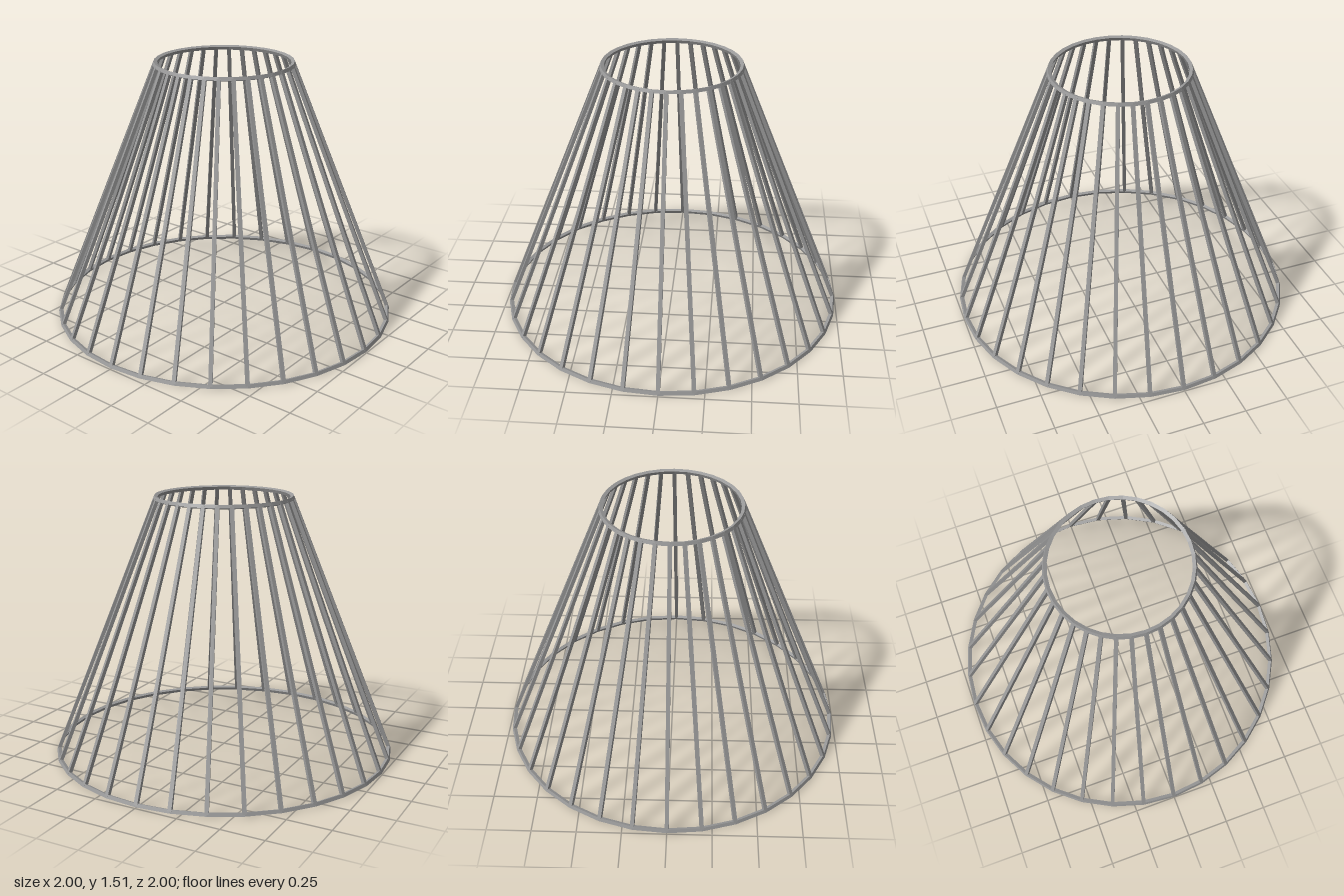
import * as THREE from 'three';

const COUNT = 32;                           // ribs and ring sides
const T = 0.02;                             // bar thickness
const BOTTOM = new THREE.Vector2(1, 0.007); // outer edge line of the cone (radius, height)
const TOP = new THREE.Vector2(0.395, 1.512);

export function createModel() {
  const model = new THREE.Group();
  model.name = 'conicalFrame';
  const metal = new THREE.MeshStandardMaterial({ color: 0x999999, flatShading: true });
  metal.name = 'grey metal';

  const slope = TOP.clone().sub(BOTTOM);
  const length = slope.length();
  const tilt = Math.atan2(-slope.x, slope.y);
  const up = slope.clone().normalize();
  const inward = new THREE.Vector2(-up.y, up.x);

  // Point in the cone's profile: distance up the slope and depth inward
  const at = (along, depth) =>
    BOTTOM.clone().addScaledVector(up, along).addScaledVector(inward, depth);

  // Faceted ring with a square section tilted to the cone
  function addRing(name, start) {
    const profile = [
      at(start, 0), at(start + T, 0), at(start + T, T), at(start, T), at(start, 0),
    ];
    const ring = new THREE.Mesh(new THREE.LatheGeometry(profile, COUNT), metal);
    ring.name = name;
    model.add(ring);
  }
  addRing('bottomRing', 0);
  addRing('topRing', length - T);

  // Straight ribs joining matching corners of the rings
  const ribGeometry = new THREE.BoxGeometry(T * 1.1, length - T, T);
  const middle = at(length / 2, T / 2);
  for (let i = 0; i < COUNT; i++) {
    const holder = new THREE.Group();
    holder.name = 'rib' + (i + 1);
    holder.rotation.y = (i / COUNT) * Math.PI * 2;
    const rib = new THREE.Mesh(ribGeometry, metal);
    rib.name = 'ribBar';
    rib.position.set(0, middle.y, middle.x);
    rib.rotation.x = -tilt;
    holder.add(rib);
    model.add(holder);
  }
  return model;
}
